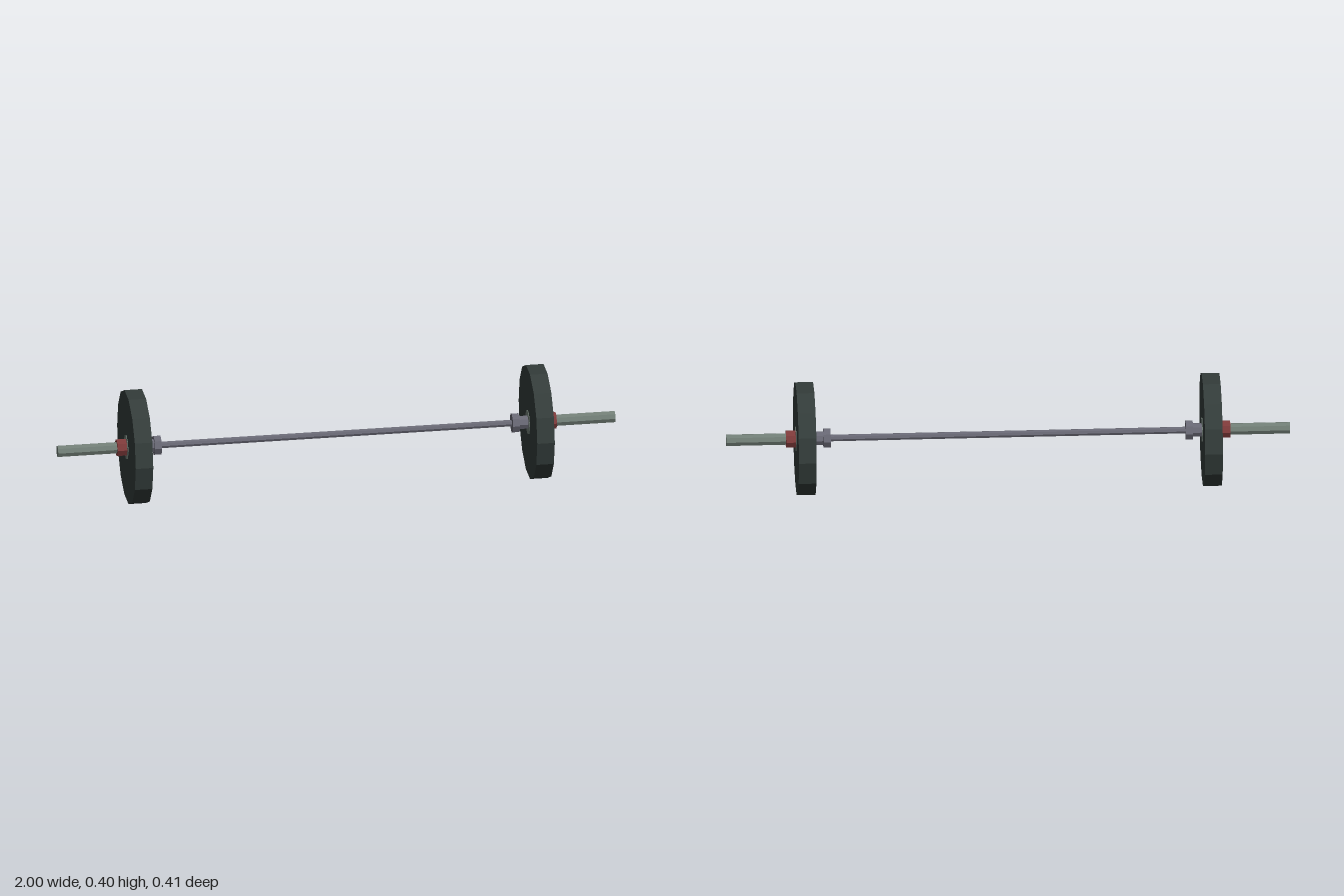
import * as THREE from 'three';

const flat = (name, color) => {
  const m = new THREE.MeshStandardMaterial({ color, flatShading: true });
  m.name = name;
  return m;
};

export function createModel() {
  const rubber = flat('dark rubber', 0x333c3a);
  const steel = flat('grey steel', 0x717e76);
  const barMetal = flat('bar metal', 0x686874);
  const red = flat('red clip', 0x7e3a3a);

  const AXIS = 0.2; // height of the bar's centre line
  const model = new THREE.Group();
  model.name = 'barbell';

  // Prism along x from x0 to x1, with corners at front and back
  function prism(parent, name, x0, x1, radius, sides, material) {
    const geo = new THREE.CylinderGeometry(radius, radius, x1 - x0, sides);
    geo.rotateZ(-Math.PI / 2);
    const mesh = new THREE.Mesh(geo, material);
    mesh.name = name;
    mesh.position.x = (x0 + x1) / 2;
    parent.add(mesh);
  }

  // Thin grip between the two ends
  const grip = new THREE.Group();
  grip.name = 'grip';
  grip.position.y = AXIS;
  prism(grip, 'gripBar', -0.64, 0.64, 0.0125, 8, barMetal);
  model.add(grip);

  // Sleeve, stop, weight plate and clip at each end
  for (const side of [1, -1]) {
    const end = new THREE.Group();
    end.name = side > 0 ? 'leftEnd' : 'rightEnd';
    end.position.y = AXIS;
    if (side < 0) end.rotation.y = Math.PI;
    prism(end, 'stopCollar', 0.63, 0.655, 0.036, 8, barMetal);
    prism(end, 'innerSleeve', 0.65, 0.692, 0.025, 8, barMetal);
    prism(end, 'sleeve', 0.69, 1, 0.0215, 8, steel);
    prism(end, 'weightPlate', 0.689, 0.752, 0.2051, 14, rubber);
    prism(end, 'plateHub', 0.687, 0.754, 0.046, 8, steel);
    prism(end, 'clip', 0.752, 0.788, 0.032, 8, red);
    model.add(end);
  }
  return model;
}
